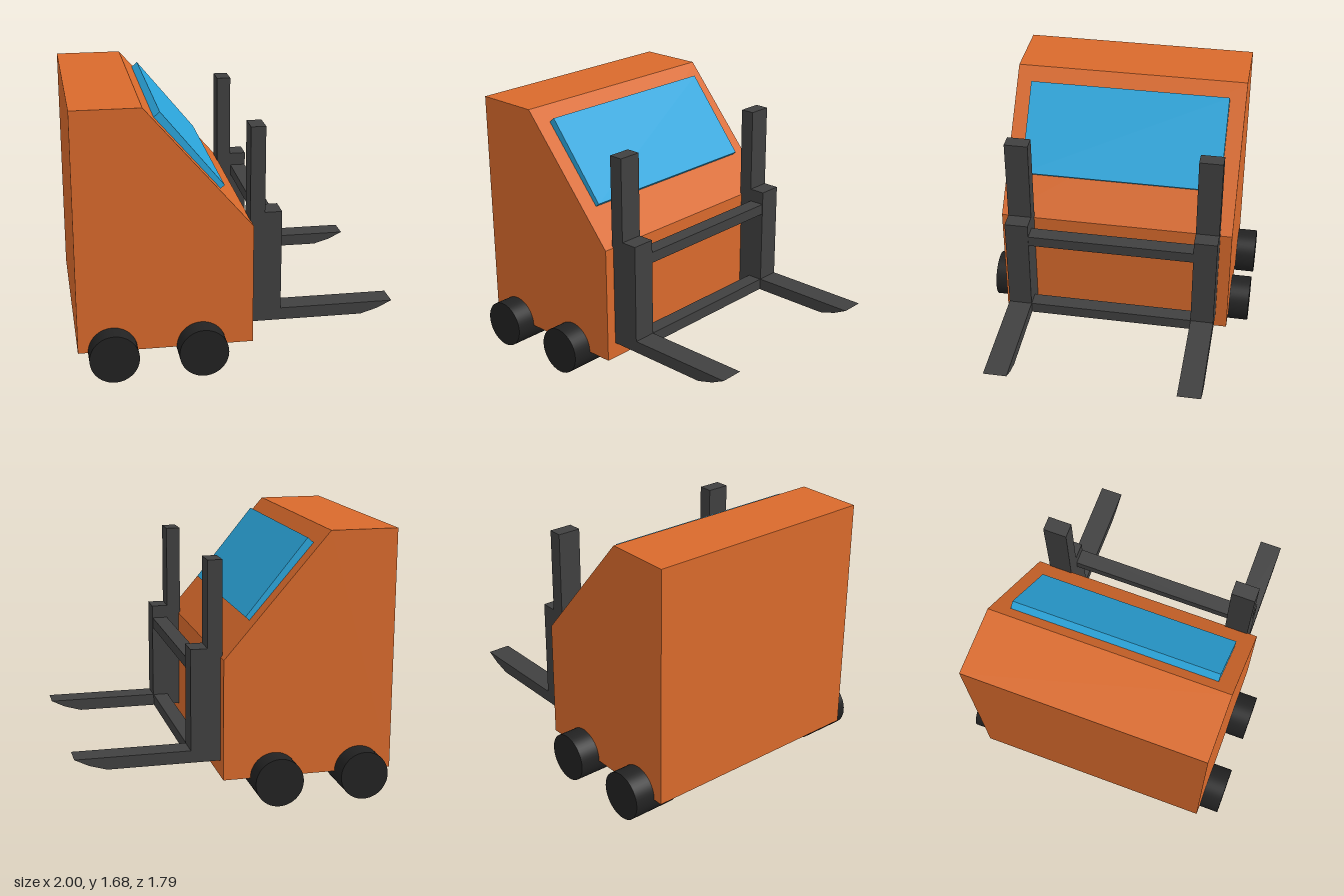
import * as THREE from 'three';

const paint = (color) => new THREE.MeshStandardMaterial({ color });

// Side profile in x/y, extruded from z0 to z1
function slab(name, points, z0, z1, material) {
  const shape = new THREE.Shape(points.map(([x, y]) => new THREE.Vector2(x, y)));
  const geometry = new THREE.ExtrudeGeometry(shape, { depth: z1 - z0, bevelEnabled: false });
  geometry.translate(0, 0, z0);
  const mesh = new THREE.Mesh(geometry, material);
  mesh.name = name;
  return mesh;
}

// Box given by its limits on each axis
function block(name, [x0, x1], [y0, y1], [z0, z1], material) {
  const mesh = new THREE.Mesh(new THREE.BoxGeometry(x1 - x0, y1 - y0, z1 - z0), material);
  mesh.position.set((x0 + x1) / 2, (y0 + y1) / 2, (z0 + z1) / 2);
  mesh.name = name;
  return mesh;
}

export function createModel() {
  const model = new THREE.Group();
  model.name = 'forklift';
  const orange = paint(0xd96a2c);
  const blue = paint(0x2ba6dc);
  const steel = paint(0x404040);
  const rubber = paint(0x222222);

  // Cab with sloped front, and the windscreen lying on the slope
  model.add(slab('cabBody',
    [[-1, 0.15], [0.09, 0.15], [0.09, 0.917], [-0.573, 1.685], [-1, 1.685]], -0.763, 0.768, orange));
  model.add(slab('windscreen',
    [[-0.497, 1.597], [-0.105, 1.125], [-0.072, 1.154], [-0.46, 1.629]], -0.657, 0.663, blue));

  // Wheels, two per side
  const wheelGeometry = new THREE.CylinderGeometry(0.153, 0.153, 0.306, 48).rotateX(Math.PI / 2);
  for (const x of [-0.785, -0.235]) {
    for (const side of [1, -1]) {
      const wheel = new THREE.Mesh(wheelGeometry, rubber);
      wheel.position.set(x, 0.154, side * 0.743);
      wheel.name = (x > -0.5 ? 'front' : 'rear') + (side > 0 ? 'RightWheel' : 'LeftWheel');
      model.add(wheel);
    }
  }

  // Mast, carriage upright and tapered fork on each side
  for (const [side, z0, z1] of [['right', 0.55, 0.702], ['left', -0.685, -0.533]]) {
    model.add(block(side + 'Mast', [0.08, 0.172], [0.254, 1.522], [z0, z1], steel));
    model.add(slab(side + 'Fork', [
      [0.172, 0.254], [0.8, 0.254], [0.91, 0.287], [1, 0.332],
      [0.278, 0.332], [0.278, 0.977], [0.172, 0.977],
    ], z0, z1, steel));
  }

  // Carriage cross bars
  model.add(block('upperCrossBar', [0.175, 0.275], [0.822, 0.892], [-0.54, 0.56], steel));
  model.add(block('lowerCrossBar', [0.175, 0.275], [0.256, 0.33], [-0.54, 0.56], steel));

  return model;
}
